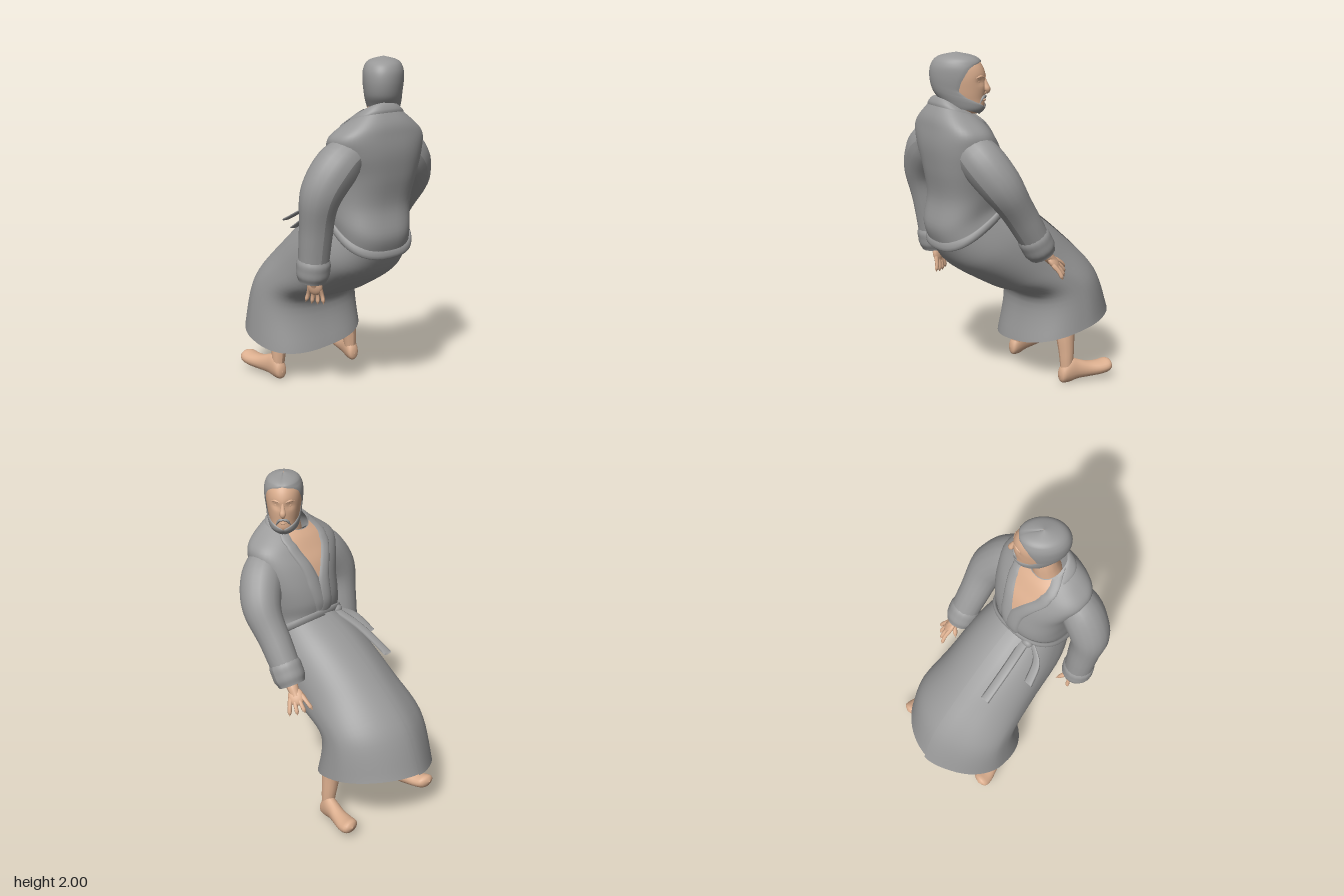
import * as THREE from 'three';
import { mergeVertices } from 'three/addons/utils/BufferGeometryUtils.js';

const V = (p) => new THREE.Vector3(...p);
const material = (name, color) =>
  Object.assign(new THREE.MeshStandardMaterial({ color, side: THREE.DoubleSide }), { name });

// Linear lookup in [position, value] pairs
function ramp(pairs, t) {
  for (let i = 1; i < pairs.length; i++) {
    const [a, va] = pairs[i - 1], [b, vb] = pairs[i];
    if (t <= b) return va + (vb - va) * Math.max(0, (t - a) / (b - a));
  }
  return pairs[pairs.length - 1][1];
}

// Smooth interpolation between rows of numbers, t from 0 to 1
function blendRows(rows, t) {
  const n = rows.length - 1, i = Math.min(n - 1, Math.floor(t * n)), f = t * n - i;
  const row = (k) => rows[Math.max(0, Math.min(n, k))];
  return rows[0].map((_, c) => {
    const [p, q, r, s] = [row(i - 1)[c], row(i)[c], row(i + 1)[c], row(i + 2)[c]];
    return q + 0.5 * f * (r - p + f * (2 * p - 5 * q + 4 * r - s + f * (3 * (q - r) + s - p)));
  });
}

// Surface from a function of u and v
function surface(nu, nv, fn, flip = false) {
  const pos = [], idx = [];
  for (let j = 0; j <= nv; j++) for (let i = 0; i <= nu; i++) pos.push(...fn(i / nu, j / nv));
  for (let j = 0; j < nv; j++) for (let i = 0; i < nu; i++) {
    const a = j * (nu + 1) + i, b = a + 1, c = a + nu + 1, d = c + 1;
    idx.push(...(flip ? [a, c, b, b, c, d] : [a, b, c, b, d, c]));
  }
  let g = new THREE.BufferGeometry();
  g.setAttribute('position', new THREE.Float32BufferAttribute(pos, 3));
  g.setIndex(idx);
  g = mergeVertices(g, 1e-5);
  g.computeVertexNormals();
  return g;
}

// Tube with a varying radius
function limb(points, radii, sides = 14) {
  const curve = new THREE.CatmullRomCurve3(points.map(V)), n = 24;
  const g = new THREE.TubeGeometry(curve, n, 1, sides);
  const pos = g.attributes.position, p = new THREE.Vector3();
  for (let i = 0; i <= n; i++) {
    const c = curve.getPointAt(i / n), r = blendRows(radii.map((x) => [x]), i / n)[0];
    for (let j = 0; j <= sides; j++) {
      const k = i * (sides + 1) + j;
      p.fromBufferAttribute(pos, k).sub(c).multiplyScalar(r).add(c);
      pos.setXYZ(k, p.x, p.y, p.z);
    }
  }
  g.computeVertexNormals();
  return g;
}

// Rows: back y, back z, front y, front z, half width, centre x, roundness of the front
const TORSO = [
  [0.92, 0.57, 1.15, 0.18, 0.225, 0.02, 0.85], [1.02, 0.595, 1.2, 0.165, 0.225, 0.01, 0.85],
  [1.18, 0.57, 1.27, 0.16, 0.235, 0.02, 0.9], [1.35, 0.595, 1.37, 0.18, 0.255, 0.03, 0.9],
  [1.48, 0.61, 1.48, 0.22, 0.285, 0.02, 0.9], [1.58, 0.605, 1.56, 0.27, 0.29, 0.01, 0.9],
  [1.66, 0.59, 1.62, 0.31, 0.21, 0.01, 0.9], [1.76, 0.535, 1.66, 0.345, 0.095, 0.01, 0.9],
];
const SKIRT = [
  [0.92, 0.56, 1.17, 0.17, 0.225, 0.02, 0.85], [0.77, 0.46, 1.06, -0.02, 0.275, 0.01, 0.9],
  [0.61, 0.21, 0.87, -0.26, 0.3, 0, 1], [0.5, 0, 0.64, -0.49, 0.335, -0.01, 1.1],
  [0.22, 0.04, 0.37, -0.6, 0.36, -0.015, 1.1],
];

// Point on a tilted body ring; angle 0 is the chest side, push moves outwards
function ringPoint(rows, angle, v, push = 0) {
  const [yb, zb, yf, zf, hw, cx, front] = blendRows(rows, v);
  const power = Math.cos(angle) > 0 ? front : 0.78;
  const soft = (t) => Math.sign(t) * Math.abs(t) ** power;
  const s = soft(Math.sin(angle)), c = soft(Math.cos(angle));
  const len = Math.hypot(yf - yb, zf - zb), m = c * (0.5 + push / len);
  return [cx + s * (hw + push), (yb + yf) / 2 + (yf - yb) * m, (zb + zf) / 2 + (zf - zb) * m];
}

// Head rows: y, face z, back z, half width
const HEAD = [
  [1.665, 0.1, -0.03, 0.04], [1.7, 0.135, -0.07, 0.072], [1.75, 0.138, -0.11, 0.088],
  [1.8, 0.143, -0.145, 0.098], [1.87, 0.145, -0.16, 0.105], [1.93, 0.125, -0.15, 0.1],
  [1.97, 0.085, -0.11, 0.072], [1.99, -0.01, -0.014, 0.002],
];
function headPoint(angle, v, push = 0) {
  const [y, zf, zb, hw] = blendRows(HEAD, v), s = Math.sin(angle), c = Math.cos(angle);
  const out = push * Math.sqrt(1 - v ** 8);
  // eye sockets
  const dx = Math.abs(s * hw) - 0.04, dy = y - 1.845;
  const dent = c > 0 && !push ? 0.014 * Math.exp(-(dx * dx) / 0.0005 - (dy * dy) / 0.0004) : 0;
  return [s * (hw + out), y + push * (v * 2 - 1), (zf + zb) / 2 + c * ((zf - zb) / 2 + out) - dent];
}

// Foot rows from heel to toe: z, centre x, half width, sole y, top y
const FOOT = [
  [-0.108, 0.293, 0.002, 0.05, 0.054], [-0.118, 0.293, 0.033, 0.008, 0.1], [-0.165, 0.297, 0.043, 0.002, 0.16],
  [-0.22, 0.307, 0.045, 0.016, 0.142], [-0.29, 0.325, 0.051, 0.022, 0.118], [-0.36, 0.342, 0.06, 0.03, 0.114],
  [-0.415, 0.352, 0.052, 0.043, 0.121], [-0.437, 0.357, 0.002, 0.085, 0.089],
];

export function createModel() {
  const model = new THREE.Group();
  model.name = 'robedMan';
  const grey = material('greyClothAndHair', 0x999999), skin = material('skin', 0xdbae8e);
  const add = (name, geometry, mat, parent = model) => {
    const m = new THREE.Mesh(geometry, mat);
    m.name = name;
    parent.add(m);
    return m;
  };
  const TAU = Math.PI * 2;

  // Robe body and skirt, the skirt overlapping itself at the front
  add('robeTorso', surface(48, 36, (u, v) => ringPoint(TORSO, u * TAU, v), true), grey);
  add('robeSkirt', surface(60, 28, (u, v) => {
    const a = u * (TAU + 0.12) - 0.12;
    const p = ringPoint(SKIRT, a, v, 0.014 * THREE.MathUtils.smoothstep(a, 5.7, 6.25));
    p[1] += 0.13 * p[0] * v ** 4;
    return p;
  }), grey);

  // Bare chest between the lapels
  const opening = (v) => ramp([[0, -0.2], [0.47, 0], [0.6, 0.12], [0.8, 0.32], [0.9, 0.55], [1, 1.0]], v);
  add('chest', surface(16, 24, (u, v) => {
    const t = 0.47 + v * 0.53;
    return ringPoint(TORSO, (u * 2 - 1) * opening(t), t, 0.005);
  }, true), skin);

  // Lapels and collar
  for (const side of [1, -1]) {
    add('lapel', surface(10, 40, (u, v) => {
      const width = 0.075 / blendRows(TORSO, v)[4];
      const a = opening(v) + u * width, lift = Math.sin(u * Math.PI) ** 0.5 * 0.014;
      return ringPoint(TORSO, side * a, v, lift + (side < 0 ? 0.004 : 0));
    }, side > 0), grey);
  }
  add('collar', surface(32, 8, (u, v) =>
    ringPoint(TORSO, 1.3 + u * (TAU - 2.6), 0.92 + v * 0.08, 0.01 * Math.sin(v * Math.PI) ** 0.5), true), grey);

  // Belt, knot and hanging ends
  add('belt', surface(48, 10, (u, v) => {
    const b = v * TAU, p = ringPoint(SKIRT, u * TAU, 0, 0.01 + 0.014 * Math.cos(b));
    p[1] += 0.028 * Math.sin(b);
    return p;
  }), grey);
  const knot = add('beltKnot', new THREE.SphereGeometry(0.035, 14, 10), grey);
  knot.position.set(-0.11, 1.15, 0.18);
  knot.scale.set(1.1, 0.8, 0.8);
  const ends = [
    [[-0.1, 1.15, 0.17], [-0.13, 1.09, 0.0], [-0.155, 0.98, -0.21]],
    [[-0.13, 1.14, 0.2], [-0.22, 1.09, 0.15], [-0.265, 1.0, 0.04]],
  ];
  for (const pts of ends) {
    const path = new THREE.CatmullRomCurve3(pts.map(V));
    add('beltEnd', surface(8, 16, (u, v) => {
      const p = path.getPoint(v), b = u * TAU;
      return [p.x + 0.03 * Math.cos(b), p.y + 0.008 * Math.sin(b), p.z];
    }), grey);
  }

  // Sleeves, cuffs and hands
  const arms = [
    { name: 'left', sleeve: [[0.14, 1.5, 0.44], [0.225, 1.46, 0.43], [0.305, 1.37, 0.385], [0.358, 1.26, 0.32], [0.36, 1.08, 0.2], [0.36, 0.9, 0.09]],
      cuff: [[0.36, 1.0, 0.15], [0.36, 0.93, 0.11], [0.36, 0.86, 0.07]],
      wrist: [0.365, 0.89, 0.085], palm: [0.385, 0.81, 0.01], tip: [0.405, 0.725, -0.06],
      across: [0.055, -0.02, 0.045], thumb: [0.315, 0.775, -0.01] },
    { name: 'right', sleeve: [[-0.13, 1.5, 0.46], [-0.22, 1.46, 0.46], [-0.305, 1.37, 0.45], [-0.36, 1.26, 0.435], [-0.365, 1.05, 0.4], [-0.365, 0.85, 0.375]],
      cuff: [[-0.365, 0.92, 0.385], [-0.365, 0.85, 0.375], [-0.365, 0.775, 0.365]],
      wrist: [-0.36, 0.82, 0.375], palm: [-0.345, 0.735, 0.36], tip: [-0.335, 0.62, 0.345],
      across: [0.03, 0, 0.05], thumb: [-0.285, 0.68, 0.275] },
  ];
  for (const arm of arms) {
    const group = new THREE.Group();
    group.name = arm.name + 'Arm';
    model.add(group);
    add('sleeve', limb(arm.sleeve, [0.1, 0.125, 0.12, 0.1, 0.092, 0.086], 18), grey, group);
    add('cuff', limb(arm.cuff, [0.08, 0.095, 0.096, 0.094, 0.08], 18), grey, group);
    const wrist = V(arm.wrist), palm = V(arm.palm), tip = V(arm.tip), across = V(arm.across);
    add('wrist', limb([arm.wrist, wrist.clone().lerp(palm, 0.5).toArray(), arm.palm], [0.035, 0.034, 0.024]), skin, group);
    const hand = add('palm', new THREE.SphereGeometry(1, 16, 12), skin, group);
    const y = tip.clone().sub(wrist).normalize();
    const z = across.clone().cross(y).normalize(), x = y.clone().cross(z);
    hand.quaternion.setFromRotationMatrix(new THREE.Matrix4().makeBasis(x, y, z));
    hand.position.copy(palm);
    hand.scale.set(0.047, 0.055, 0.022);
    for (const k of [-0.95, -0.32, 0.32, 0.95]) {
      const start = palm.clone().addScaledVector(across, k * 0.5);
      const end = tip.clone().addScaledVector(across, k).addScaledVector(y, -Math.abs(k) * 0.012);
      const mid = start.clone().lerp(end, 0.55).addScaledVector(z, 0.008);
      add('finger', limb([start.toArray(), mid.toArray(), end.toArray()],
        [0.013, 0.014, 0.013, 0.012, 0.012, 0.011, 0.001], 8), skin, group);
    }
    const root = wrist.clone().lerp(palm, 0.6), end = V(arm.thumb);
    add('thumb', limb([root.toArray(), root.clone().lerp(end, 0.6).toArray(), arm.thumb],
      [0.018, 0.017, 0.015, 0.013, 0.001], 8), skin, group);
  }

  // Bare legs and feet, the right pair set closer to the middle
  for (const s of [1, -1]) {
    const group = new THREE.Group();
    group.name = s > 0 ? 'leftLeg' : 'rightLeg';
    group.position.x = s > 0 ? 0 : 0.035;
    model.add(group);
    add('shin', limb([[0.295 * s, 0.06, -0.157], [0.285 * s, 0.18, -0.16], [0.257 * s, 0.36, -0.175], [0.21 * s, 0.58, -0.31]],
      [0.036, 0.045, 0.056, 0.069, 0.072, 0.06]), skin, group);
    add('foot', surface(20, 24, (u, v) => {
      const [z, cx, hw, low, top] = blendRows(FOOT, v), a = u * TAU;
      return [s * (cx + hw * Math.cos(a)), (low + top) / 2 + ((top - low) / 2) * Math.sin(a), z];
    }, s < 0), skin, group);
  }

  // Neck and turned head
  add('neck', limb([[0.02, 1.57, 0.45], [0.035, 1.66, 0.44], [0.065, 1.78, 0.44]], [0.085, 0.078, 0.074, 0.07]), skin);
  const head = new THREE.Group();
  head.name = 'head';
  head.position.set(0.072, 0, 0.43);
  head.rotation.y = 2.37;
  model.add(head);
  add('face', surface(48, 40, (u, v) => headPoint(u * TAU, v)), skin, head);

  // Hair and beard as one shell around the face, ending higher at the nape
  const edge = (v) => ramp([[0, 0], [0.16, 0], [0.2, 0.4], [0.25, 0.8], [0.32, 1.2], [0.42, 1.45],
    [0.52, 1.32], [0.6, 1.15], [0.68, 0.95], [0.73, 0.65], [0.77, 0]], v);
  add('hairAndBeard', surface(48, 48, (u, v) => {
    const e = edge(v), low = 0.22 * Math.sin(u * Math.PI);
    return headPoint(e + u * (TAU - 2 * e), low + (1 - low) * v, 0.004 + 0.008 * Math.sin(u * Math.PI) ** 0.4);
  }), grey, head);
  add('moustache', limb([[-0.042, 1.725, 0.122], [-0.022, 1.757, 0.136], [0, 1.763, 0.141], [0.022, 1.757, 0.136], [0.042, 1.725, 0.122]],
    [0.003, 0.008, 0.007, 0.008, 0.003], 8), grey, head);
  add('lips', limb([[-0.025, 1.74, 0.132], [0, 1.741, 0.14], [0.025, 1.74, 0.132]], [0.002, 0.007, 0.002], 8), skin, head);
  add('nose', limb([[0, 1.86, 0.138], [0, 1.815, 0.15], [0, 1.79, 0.155], [0, 1.775, 0.14]], [0.008, 0.013, 0.018, 0.004], 10), skin, head);
  for (const s of [1, -1]) {
    add('brow', limb([[0.018 * s, 1.868, 0.141], [0.045 * s, 1.874, 0.128], [0.068 * s, 1.865, 0.108]], [0.004, 0.007, 0.003], 8), skin, head);
    const eye = add('eye', new THREE.SphereGeometry(0.013, 12, 8), skin, head);
    eye.position.set(0.04 * s, 1.843, 0.109);
  }
  return model;
}
